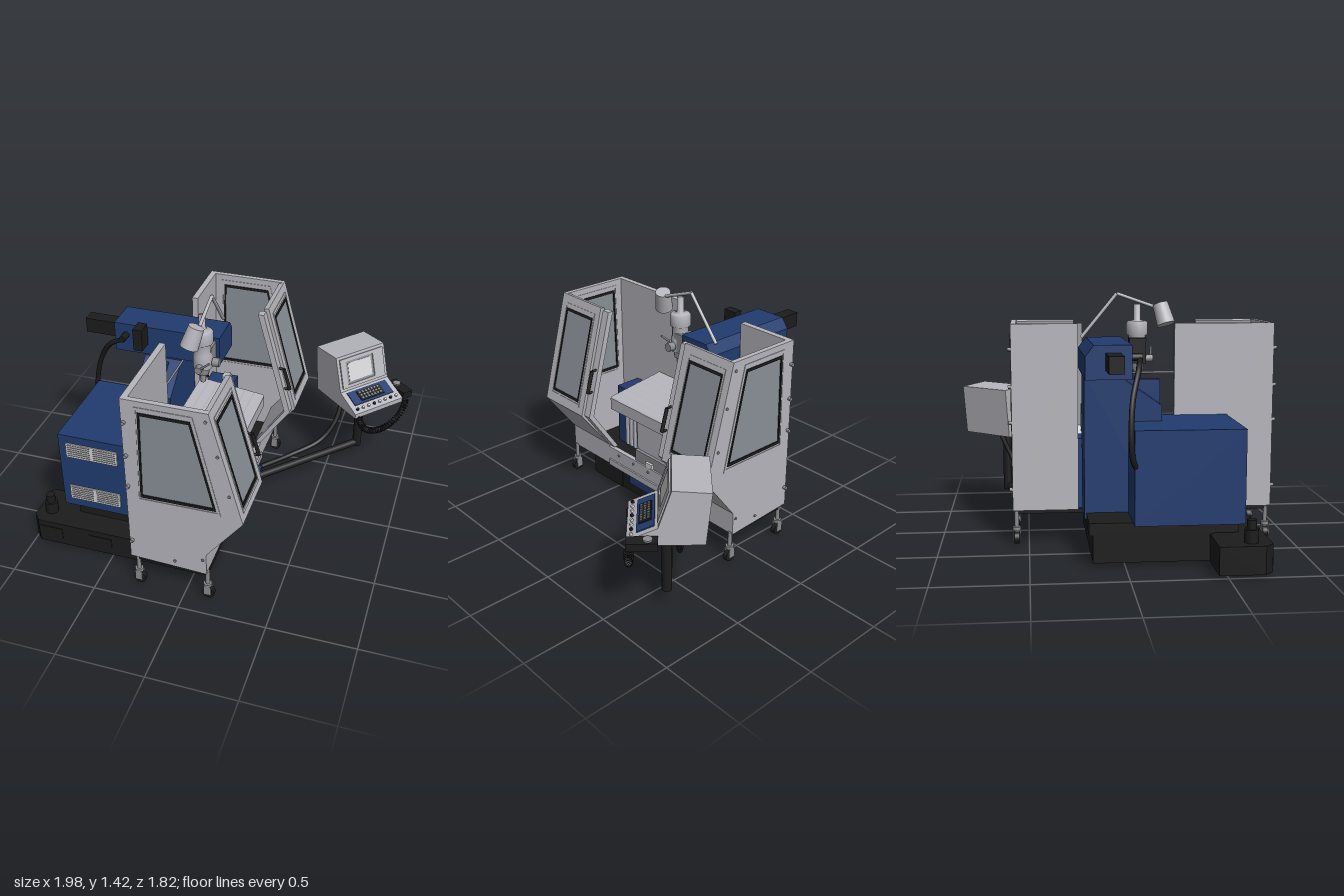
import * as THREE from 'three';
import { RoundedBoxGeometry } from 'three/addons/geometries/RoundedBoxGeometry.js';

const V = (x, y, z) => new THREE.Vector3(x, y, z);
const paint = (name, color) => Object.assign(new THREE.MeshStandardMaterial({ color }), { name });

export function createModel() {
  const root = new THREE.Group();
  root.name = 'millingMachine';
  const grey = paint('light grey', 0xb6b6bd), blue = paint('navy blue', 0x213c70);
  const black = paint('black', 0x1c1c1c), glass = paint('window glass', 0x8a9098);
  const steel = paint('steel', 0x8c8c90), white = paint('pale grey', 0xd4d4d6);

  const add = (name, geo, mat, parent = root) => {
    const m = new THREE.Mesh(geo, mat);
    m.name = name;
    parent.add(m);
    return m;
  };
  // box given by its minimum and maximum corners
  const box = (name, mat, x0, x1, y0, y1, z0, z1, parent = root) => {
    const m = add(name, new THREE.BoxGeometry(x1 - x0, y1 - y0, z1 - z0), mat, parent);
    m.position.set((x0 + x1) / 2, (y0 + y1) / 2, (z0 + z1) / 2);
    return m;
  };
  // straight round or square bar between two points
  const rod = (name, mat, a, b, r, parent = root, r2 = r, sides = 14) => {
    const m = add(name, new THREE.CylinderGeometry(r2, r, a.distanceTo(b), sides), mat, parent);
    m.position.copy(a).lerp(b, 0.5);
    m.quaternion.setFromUnitVectors(V(0, 1, 0), b.clone().sub(a).normalize());
    return m;
  };
  const hose = (name, mat, pts, r, seg = 32) =>
    add(name, new THREE.TubeGeometry(new THREE.CatmullRomCurve3(pts.map(p => V(...p))), seg, r, 8), mat);
  const poly = pts => new THREE.Shape(pts.map(p => new THREE.Vector2(...p)));
  const extrude = (shape, depth) => new THREE.ExtrudeGeometry(shape, { depth, bevelEnabled: false });
  const ring = (outer, inner) => {
    const s = poly(outer);
    s.holes.push(new THREE.Path(inner.map(p => new THREE.Vector2(...p))));
    return s;
  };
  const scaled = (pts, k) => {
    const cx = pts.reduce((t, p) => t + p[0], 0) / pts.length;
    const cy = pts.reduce((t, p) => t + p[1], 0) / pts.length;
    return pts.map(p => [cx + (p[0] - cx) * k, cy + (p[1] - cy) * k]);
  };
  // flat panel with a glazed window and black gasket, from z = 0 to z = d
  const windowPanel = (name, outline, win, d, parent) => {
    const g = new THREE.Group();
    g.name = name;
    parent.add(g);
    add('panel', extrude(ring(outline, win), d), grey, g);
    add('gasket', extrude(ring(scaled(win, 1.015), scaled(win, 0.955)), d + 0.01), black, g).position.z = -0.005;
    add('windowPane', extrude(poly(scaled(win, 0.96)), d - 0.004), glass, g).position.z = 0.002;
    add('windowTrim', extrude(ring(scaled(win, 1.13), scaled(win, 1.06)), d + 0.006), grey, g).position.z = -0.003;
    return g;
  };

  // base, coolant tank and chip tray
  box('machineBase', black, -0.75, 0.08, 0.02, 0.18, -0.17, 0.47);
  box('basePlate', black, -0.75, -0.1, 0.17, 0.235, -0.19, 0.6);
  add('coolantTank', extrude(poly([[-1, -0.45], [0.085, -0.45], [0.085, -0.735], [-0.96, -0.735], [-1, -0.69]].reverse()), 0.15), black)
    .rotateX(-Math.PI / 2).position.y = 0.015;
  for (const x of [-0.88, -0.57, -0.28, -0.05]) box('tankHatch', black, x - 0.07, x + 0.07, 0.05, 0.13, 0.73, 0.739);
  rod('coolantPump', black, V(-0.92, 0.16, 0.63), V(-0.92, 0.235, 0.63), 0.038);
  rod('pumpCap', black, V(-0.92, 0.235, 0.63), V(-0.92, 0.285, 0.63), 0.026);
  box('chipTray', black, -0.28, 0.12, 0.175, 0.2, -0.58, 0.875);
  box('frontSkirt', blue, 0.08, 0.1, 0.09, 0.17, -0.13, 0.36);
  box('trayLip', grey, 0.09, 0.14, 0.18, 0.22, -0.21, 0.51);
  box('traySill', grey, 0.1, 0.13, 0.22, 0.305, -0.22, 0.52);
  for (let i = 0; i < 5; i++) {
    const z = -0.14 + i * 0.14;
    rod('sillBolt', steel, V(0.128, 0.275, z), V(0.136, 0.275, z), 0.008);
  }

  // electrical cabinet with louvred vents
  box('electricalCabinet', blue, -0.83, -0.3, 0.235, 0.735, 0.04, 0.62);
  for (const y of [0.29, 0.59]) {
    box('vent', white, -0.785, -0.475, y, y + 0.095, 0.62, 0.627);
    for (let i = 0; i < 6; i++) for (const x of [-0.775, -0.62])
      box('ventSlit', steel, x, x + 0.135, y + 0.012 + i * 0.014, y + 0.016 + i * 0.014, 0.626, 0.63);
  }

  // column with a sloped shoulder, and the ram above it
  const column = extrude(poly([[0.2, 0.2], [-0.22, 0.2], [-0.22, 0.82], [-0.02, 0.96], [-0.02, 1], [0.2, 1]].reverse()), 0.225);
  add('column', column, blue).rotateY(Math.PI / 2).position.x = -0.525;
  box('columnRib', blue, -0.41, -0.37, 0.74, 0.95, 0.04, 0.225);
  const ram = extrude(poly([[-0.04, 0.98], [0.205, 0.98], [0.205, 1.1], [0.16, 1.16], [-0.04, 1.16]]), 0.64);
  add('ram', ram, blue).rotateY(Math.PI / 2).position.x = -0.7;
  box('ramMotor', black, -0.91, -0.7, 1.03, 1.12, -0.1, -0.02);
  box('feedMotor', black, -0.55, -0.495, 1.05, 1.185, 0.04, 0.13);
  rod('motorCoupling', black, V(-0.63, 1.09, 0.03), V(-0.63, 1.09, 0.1), 0.02);
  hose('powerHose', black, [[-0.62, 1.09, 0.09], [-0.72, 1.03, 0.07], [-0.81, 0.88, 0.03], [-0.85, 0.7, 0.02], [-0.84, 0.58, 0.03], [-0.8, 0.52, 0.06]], 0.015);

  // spindle head, turned profile
  const head = [[0, 0.92], [0.015, 0.92], [0.018, 0.97], [0.035, 0.975], [0.04, 1.01], [0.055, 1.02], [0.055, 1.1], [0.048, 1.11],
    [0.048, 1.17], [0.062, 1.18], [0.062, 1.245], [0.05, 1.255], [0.02, 1.26], [0.02, 1.35], [0, 1.35]];
  const spindle = new THREE.LatheGeometry(head.map(p => new THREE.Vector2(...p)), 24);
  add('spindleHead', spindle.toNonIndexed(), grey).position.set(-0.13, 0, 0.13);
  spindle.computeVertexNormals();
  box('headMount', steel, -0.17, -0.08, 1.02, 1.14, 0.03, 0.13);
  rod('quillFeed', steel, V(-0.13, 1.04, 0.17), V(-0.13, 1.04, 0.22), 0.022);
  rod('quillLever', steel, V(-0.13, 1.04, 0.21), V(-0.06, 1.1, 0.22), 0.006);
  rod('quillGear', steel, V(-0.07, 1.06, 0.13), V(-0.03, 1.06, 0.13), 0.026);
  rod('coolantNozzle', black, V(-0.13, 0.99, 0.08), V(-0.13, 0.9, 0.05), 0.008);
  rod('crossRail', steel, V(-0.285, 0.975, -0.2), V(-0.285, 0.975, 0.48), 0.006);

  // work lamp on a jointed arm
  rod('lampArmLower', grey, V(-0.11, 1.16, -0.19), V(-0.11, 1.41, 0.015), 0.01);
  rod('lampArmUpper', grey, V(-0.11, 1.41, 0.015), V(-0.11, 1.335, 0.23), 0.01);
  rod('lampShade', grey, V(-0.15, 1.235, 0.295), V(-0.115, 1.35, 0.265), 0.053, root, 0.045, 20);

  // table way cover: stepped profile
  const steps = [[-0.25, 0.6], [0.15, 0.6], [0.15, 0.675]];
  for (let i = 6; i >= 0; i--) {
    const x = -0.25 + i * 0.057;
    steps.push([x + 0.05, 0.682 + (6 - i) * 0.007], [x, 0.69 + (6 - i) * 0.007]);
  }
  add('wayCover', extrude(poly(steps), 0.64), grey).position.z = -0.18;
  box('saddle', grey, -0.25, 0.1, 0.38, 0.6, -0.03, 0.27);
  box('saddleFoot', steel, -0.25, 0.12, 0.3, 0.38, -0.03, 0.27);
  box('saddleLatch', white, 0.12, 0.135, 0.31, 0.34, 0.1, 0.16);
  box('wayBed', blue, -0.27, -0.1, 0.2, 0.6, -0.46, 0.7);
  // pleated bellows on both sides of the saddle
  for (const z0 of [-0.17, 0.29]) {
    box('bellowsFrame', blue, -0.12, 0.03, 0.3, 0.6, z0 - 0.01, z0 + 0.17);
    for (let i = 0; i < 4; i++)
      add('bellowsPleat', new RoundedBoxGeometry(0.06, 0.27, 0.036, 2, 0.014), grey).position.set(0.035, 0.465, z0 + 0.02 + i * 0.036);
  }

  // two guard enclosures, open at the top and towards the table
  const profile = [[-0.31, 0.2], [0.13, 0.18], [0.13, 0.32], [0.335, 0.59], [0.155, 1.25], [-0.31, 1.25]];
  const sideWin = [[-0.225, 0.645], [0.185, 0.65], [0.058, 1.18], [-0.215, 1.18]];
  const tilt = Math.atan2(0.18, 0.66);
  const caster = (x, z) => {
    const g = new THREE.Group();
    g.name = 'caster';
    g.position.set(x, 0, z);
    root.add(g);
    rod('casterStem', steel, V(0, 0.07, 0), V(0, 0.19, 0), 0.012, g);
    rod('casterCollar', steel, V(0, 0.08, 0), V(0, 0.1, 0), 0.024, g);
    for (const s of [-1, 1]) box('casterFork', steel, -0.018, 0.022, 0.025, 0.085, s * 0.019 - 0.003, s * 0.019 + 0.003, g);
    rod('casterWheel', black, V(0.006, 0.034, -0.014), V(0.006, 0.034, 0.014), 0.034, g, 0.034, 20);
  };
  const enclosure = (name, outer, s) => {
    const g = new THREE.Group();
    g.name = name;
    root.add(g);
    const inner = outer - s * 0.37, lo = Math.min(outer, inner), edge = outer - s * 0.42;
    windowPanel('sideWindowPanel', profile, sideWin, 0.03, g).position.z = s > 0 ? outer - 0.03 : outer;
    // sloped face with its own window and an inside lining
    const slope = windowPanel('slopedWindowPanel', [[-0.185, 0], [0.185, 0], [0.185, 0.684], [-0.185, 0.684]],
      [[-0.125, 0.075], [0.125, 0.075], [0.125, 0.6], [-0.125, 0.6]], 0.03, g);
    slope.rotation.set(-tilt, Math.PI / 2, 0, 'YXZ');
    slope.position.set(0.335 - 0.03 * Math.cos(tilt), 0.59 - 0.03 * Math.sin(tilt), lo + 0.185);
    add('innerLining', extrude(ring([[-0.15, 0.02], [0.15, 0.02], [0.15, 0.67], [-0.15, 0.67]],
      [[-0.125, 0.075], [0.125, 0.075], [0.125, 0.6], [-0.125, 0.6]]), 0.008), blue, slope).position.z = -0.009;
    // sliding door edge set back beside it
    add('doorEdge', extrude(poly([[0.13, 0.32], [0.315, 0.59], [0.14, 1.23], [0.105, 1.23], [0.28, 0.59], [0.1, 0.32]]), 0.05), grey, g)
      .position.z = Math.min(inner, edge);
    // folded lower skirt
    add('lowerSkirt', extrude(poly([[0.13, 0.18], [0.13, 0.32], [0.335, 0.59], [0.3, 0.59], [0.1, 0.33], [0.1, 0.18]].reverse()), 0.37), grey, g)
      .position.z = lo;
    const back = s > 0 ? 0.32 : inner;
    box('backWall', grey, -0.31, -0.275, 0.2, 1.25, Math.min(outer, back), Math.max(outer, back), g);
    const hz = outer - s * 0.4;
    rod('doorHandle', black, V(0.305, 0.745, hz), V(0.265, 0.88, hz), 0.011, g);
    for (const [x, y] of [[0.295, 0.745], [0.255, 0.88]]) rod('handlePost', black, V(x - 0.04, y, hz), V(x + 0.008, y, hz), 0.007, g);
    for (const y of [0.32, 0.7, 0.9, 1.11]) rod('hingeKnob', steel, V(-0.295, y, outer), V(-0.295, y, outer + s * 0.018), 0.011, g);
    for (const [x, y] of [[0.14, 1.2], [0.2, 1.0], [0.26, 0.76], [0.11, 0.28], [-0.05, 0.23]])
      rod('panelBolt', steel, V(x, y, outer), V(x, y, outer + s * 0.006), 0.008, g);
    for (const x of [-0.275, 0.13]) caster(x, outer - s * 0.02);
  };
  enclosure('frontEnclosure', 0.885, 1);
  enclosure('backEnclosure', -0.59, -1);

  // swing arm carrying the control pendant
  box('armBracket', blue, 0.08, 0.16, 0.07, 0.17, -0.14, -0.02);
  const armEnd = V(0.67, 0.125, -0.635);
  rod('swingArm', black, V(0.11, 0.125, -0.05), armEnd, 0.024);
  rod('pendantPost', black, V(0.67, 0.105, -0.635), V(0.67, 0.51, -0.635), 0.028);
  hose('controlCable', black, [[0.14, 0.13, -0.18], [0.3, 0.135, -0.36], [0.45, 0.18, -0.5], [0.53, 0.3, -0.58], [0.555, 0.51, -0.68]], 0.015);

  // pendant: local z runs forward from its back face, local x across it
  const pendant = new THREE.Group();
  pendant.name = 'controlPendant';
  pendant.position.set(0.49, 0, -0.775);
  pendant.rotation.y = Math.atan2(0.325, 0.29);
  root.add(pendant);
  const caseSide = [[-0.03, 0.5], [0, 0.8], [-0.2, 0.815], [-0.27, 0.6], [-0.43, 0.53], [-0.43, 0.5]];
  add('pendantCase', extrude(poly(caseSide), 0.37), grey, pendant).rotateY(Math.PI / 2).position.x = -0.185;
  // plate lying on the sloping front between two points of the case side
  const face = (name, tiltX, y, z) => {
    const g = new THREE.Group();
    g.name = name;
    g.position.set(0, y, z);
    g.rotation.x = tiltX;
    pendant.add(g);
    return g;
  };
  const screen = face('screenFace', -Math.atan2(0.07, 0.215), 0.7075, 0.235);
  add('screenBezel', extrude(ring([[-0.165, -0.095], [0.165, -0.095], [0.165, 0.095], [-0.165, 0.095]],
    [[-0.125, -0.075], [0.085, -0.075], [0.085, 0.075], [-0.125, 0.075]]), 0.009), grey, screen);
  box('screenBorder', steel, -0.125, 0.085, -0.075, 0.075, 0, 0.003, screen);
  box('screen', white, -0.108, 0.068, -0.06, 0.06, 0, 0.005, screen);
  const keys = face('keyboardFace', -Math.atan2(0.16, 0.07), 0.565, 0.35);
  box('keyPanel', blue, -0.15, 0.15, -0.03, 0.07, 0, 0.006, keys);
  box('keyField', black, -0.09, 0.09, -0.015, 0.055, 0, 0.012, keys);
  for (let i = 0; i < 8; i++) {
    const x = -0.15 + i * 0.043;
    rod('button', i % 3 ? white : black, V(x, -0.058, 0), V(x, -0.058, 0.012), 0.009, keys);
  }
  for (let r = 0; r < 3; r++) for (let i = 0; i < 7; i++)
    box('key', steel, -0.08 + i * 0.023, -0.066 + i * 0.023, -0.008 + r * 0.021, 0.005 + r * 0.021, 0.01, 0.016, keys);
  // hand unit with dial on the pendant's side
  box('handUnit', black, 0.19, 0.26, 0.515, 0.56, 0.27, 0.43, pendant);
  rod('handDial', steel, V(0.225, 0.56, 0.32), V(0.225, 0.57, 0.32), 0.025, pendant);
  box('handUnitHolder', black, 0.18, 0.2, 0.505, 0.53, 0.3, 0.4, pendant);
  // coiled cable hanging in a half loop
  const coil = [], turns = 32;
  for (let i = 0; i <= turns * 8; i++) {
    const t = i / (turns * 8), a = Math.PI * (1 + t), w = t * turns * Math.PI * 2;
    const r = 0.17 + 0.017 * Math.cos(w);
    coil.push(V(0.04 + r * 1.08 * Math.cos(a), 0.505 + r * Math.sin(a), 0.42 + 0.017 * Math.sin(w)));
  }
  add('coiledCable', new THREE.TubeGeometry(new THREE.CatmullRomCurve3(coil), turns * 10, 0.005, 5), black, pendant);

  return root;
}
